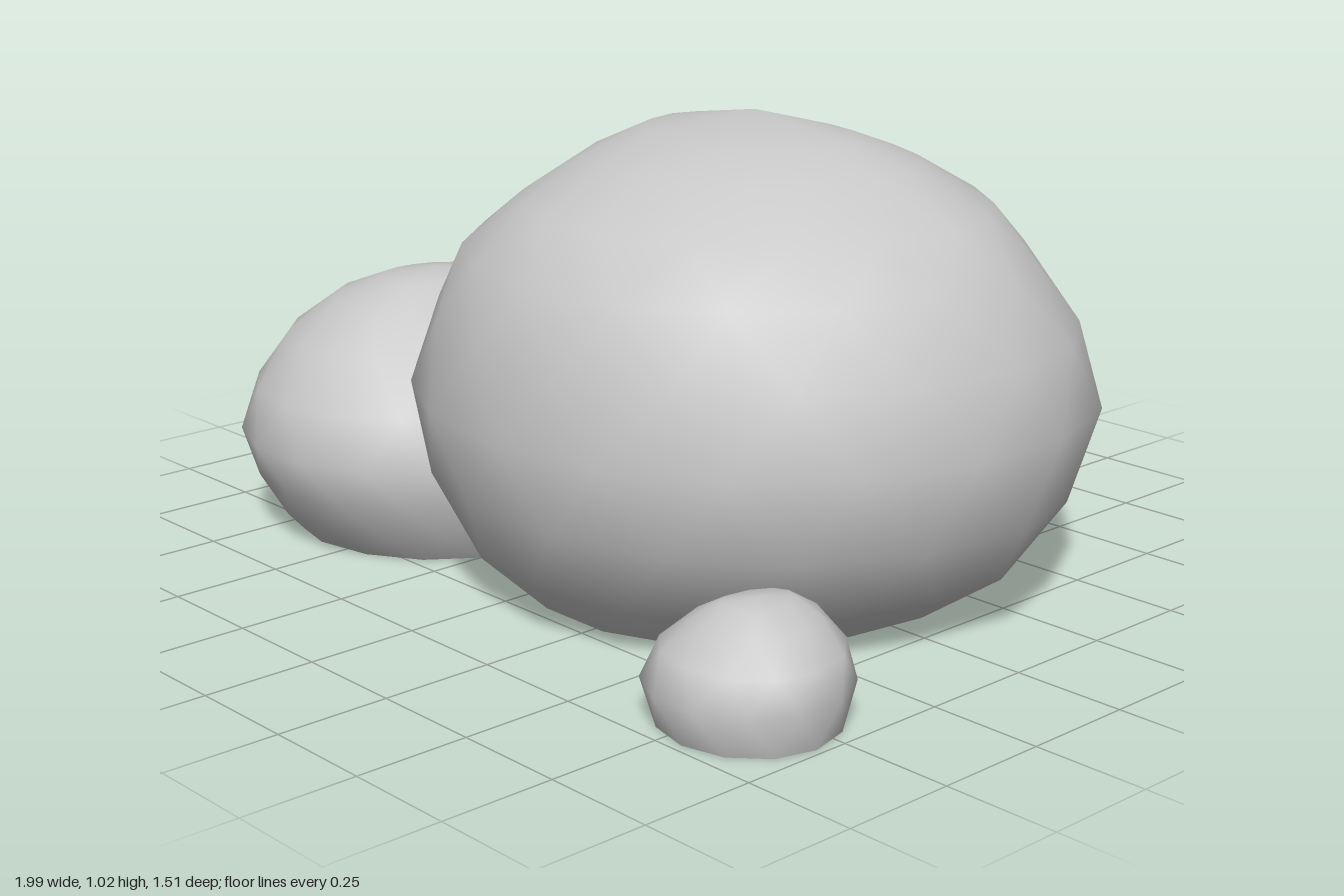
import * as THREE from 'three';

const stone = new THREE.MeshStandardMaterial({ color: 0xc8c8c8 });
stone.name = 'greyStone';

// Boulder lofted from rings [y, xMin, xMax, zMin, zMax, full, corner] around a centre line, with a flat base;
// full swells a ring between its four extremes, corner pushes it toward +x -z
function boulder(name, cx, cz, sides, rings, topPoint) {
  const pos = [], index = [];
  const last = rings.length - 1;
  const addRing = ([y, x0, x1, z0, z1, full = 0, corner = 0], i) => {
    for (let j = 0; j < sides; j++) {
      const a = ((j + (i % 2) * 0.5) / sides) * Math.PI * 2;
      const c = Math.cos(a), s = Math.sin(a);
      const k = 1 + full * Math.abs(Math.sin(2 * a)) + corner * 2 * Math.max(0, c) * Math.max(0, -s);
      pos.push(cx + c * k * (c > 0 ? x1 - cx : cx - x0), y, cz + s * k * (s > 0 ? z1 - cz : cz - z0));
    }
  };
  rings.forEach(addRing);

  // sides: alternate rings are offset by half a step
  for (let i = 0; i < last; i++) {
    for (let j = 0; j < sides; j++) {
      const n = (j + 1) % sides;
      const a = i * sides + j, b = i * sides + n;
      const c = a + sides, d = b + sides;
      if (i % 2) index.push(a, d, b, a, c, d);
      else index.push(a, c, b, b, c, d);
    }
  }

  // crown
  const top = pos.length / 3;
  pos.push(...topPoint);
  for (let j = 0; j < sides; j++) index.push(last * sides + j, top, last * sides + (j + 1) % sides);

  // base has its own vertices so its rim stays sharp
  const base = pos.length / 3;
  addRing(rings[0], 0);
  pos.push(cx, 0, cz);
  for (let j = 0; j < sides; j++) index.push(base + j, base + (j + 1) % sides, base + sides);

  const geo = new THREE.BufferGeometry();
  geo.setAttribute('position', new THREE.Float32BufferAttribute(pos, 3));
  geo.setIndex(index);
  geo.computeVertexNormals();
  const mesh = new THREE.Mesh(geo, stone);
  mesh.name = name;
  return mesh;
}

export function createModel() {
  const group = new THREE.Group();
  group.name = 'boulders';

  group.add(boulder('largeBoulder', 0.19, -0.08, 18, [
    [0, -0.37, 0.67, -0.53, 0.47, 0, 0.01],
    [0.1, -0.45, 0.82, -0.61, 0.58, 0, -0.02],
    [0.26, -0.53, 0.94, -0.71, 0.65, 0.01, -0.05],
    [0.43, -0.56, 0.94, -0.755, 0.67, 0.025, 0],
    [0.59, -0.525, 0.92, -0.705, 0.63, 0.01, -0.02],
    [0.74, -0.44, 0.83, -0.61, 0.585, 0, -0.03],
    [0.84, -0.31, 0.735, -0.53, 0.47, 0, -0.03],
    [0.93, -0.19, 0.57, -0.36, 0.3],
    [0.975, -0.1, 0.44, -0.24, 0.15],
  ], [0.17, 1.02, -0.07]));

  group.add(boulder('mediumBoulder', -0.58, 0.24, 16, [
    [0, -0.86, -0.22, -0.07, 0.57],
    [0.06, -0.92, -0.19, -0.13, 0.62],
    [0.14, -0.965, -0.17, -0.18, 0.66, 0.01],
    [0.23, -1.0, -0.17, -0.2, 0.685, 0.02],
    [0.34, -0.97, -0.2, -0.18, 0.655, 0.01],
    [0.45, -0.915, -0.3, -0.12, 0.57],
    [0.53, -0.81, -0.41, -0.02, 0.46],
    [0.575, -0.69, -0.49, 0.1, 0.35],
  ], [-0.57, 0.595, 0.23]));

  group.add(boulder('smallBoulder', 0.8, 0.56, 12, [
    [0, 0.61, 0.985, 0.37, 0.73],
    [0.085, 0.595, 1.0, 0.35, 0.757, 0.02],
    [0.15, 0.62, 0.98, 0.36, 0.72, 0.01],
    [0.205, 0.685, 0.92, 0.4, 0.65],
    [0.235, 0.74, 0.86, 0.45, 0.6],
  ], [0.8, 0.243, 0.53]));

  return group;
}
